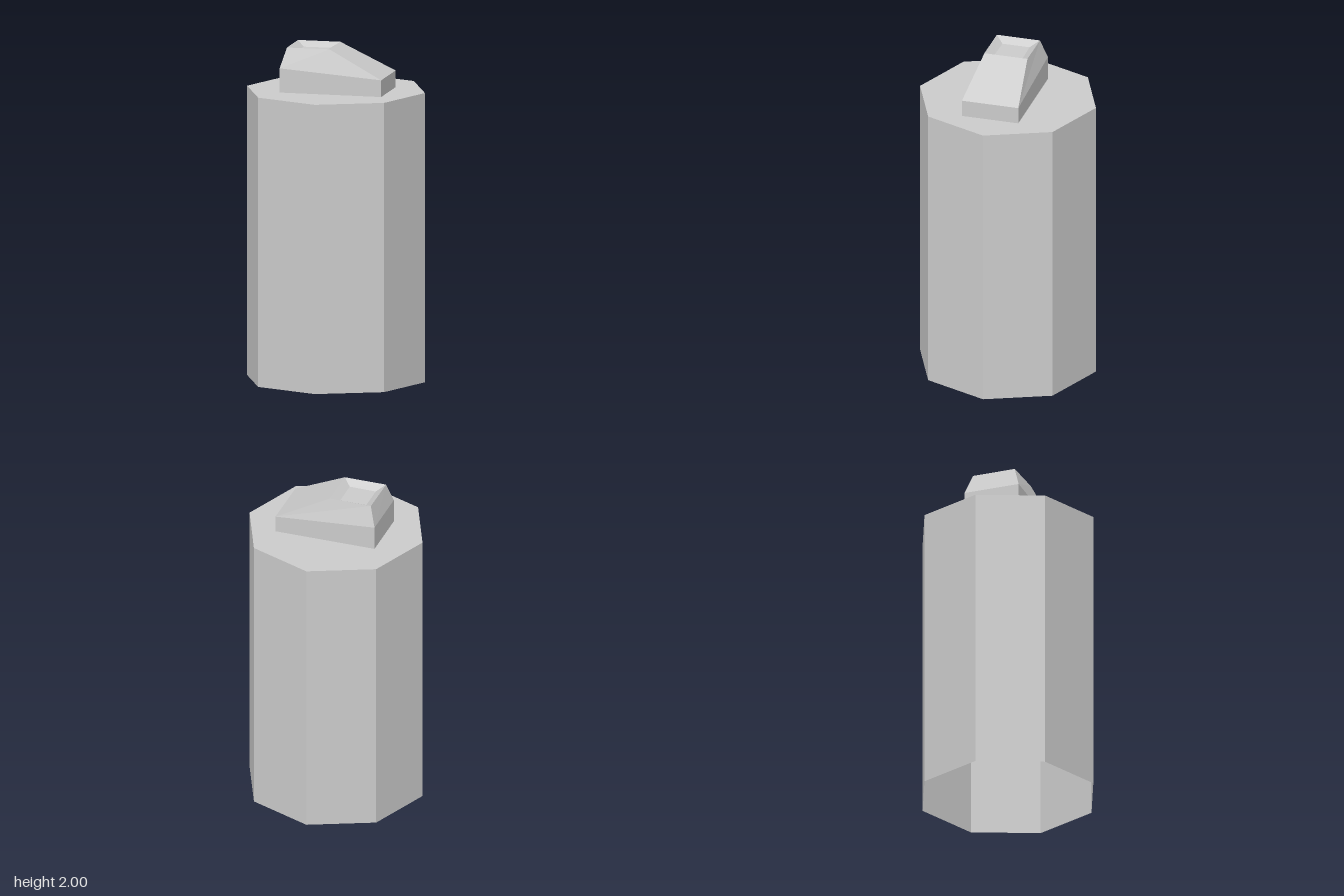
import * as THREE from 'three';

const material = new THREE.MeshStandardMaterial({ color: 0xcccccc, flatShading: true, side: THREE.DoubleSide });

// Skins four-cornered rings from bottom to top, then closes the last one.
function skinRings(rings) {
  const index = [];
  const n = rings[0].length;
  for (let r = 0; r < rings.length - 1; r++) {
    for (let i = 0; i < n; i++) {
      const j = (i + 1) % n;
      const a = r * n + i, b = r * n + j, c = b + n, d = a + n;
      index.push(a, b, c, a, c, d);
    }
  }
  const last = (rings.length - 1) * n;
  index.push(last, last + 1, last + 2, last, last + 2, last + 3);
  const indexed = new THREE.BufferGeometry();
  indexed.setAttribute('position', new THREE.Float32BufferAttribute(rings.flat(2), 3));
  indexed.setIndex(index);
  const geometry = indexed.toNonIndexed();
  geometry.computeVertexNormals();
  return geometry;
}

export function createModel() {
  const model = new THREE.Group();
  model.name = 'octagonalCanister';

  // Eight-sided shell, closed on top and open underneath
  const profile = [[0.54, 0], [0.54, 1.735], [0, 1.735]].map(([x, y]) => new THREE.Vector2(x, y));
  const body = new THREE.Mesh(new THREE.LatheGeometry(profile, 8), material);
  body.name = 'body';
  model.add(body);

  // Wedge-shaped cap turned on the lid: back-left, front-left, front-right, back-right corners
  const foot = [[-0.34, -0.083], [0.09, 0.362], [0.34, 0.12], [-0.095, -0.323]];
  const shoulderHeights = [1.88, 1.835, 1.835, 1.88];
  const rim = [[-0.288, -0.085], [-0.107, 0.1], [0.083, -0.085], [-0.097, -0.27]];
  const recess = [[-0.22, -0.085], [-0.107, 0.034], [0.016, -0.087], [-0.1, -0.202]];
  const atHeight = (ring, y) => ring.map(([x, z]) => [x, y, z]);

  const spout = new THREE.Mesh(skinRings([
    atHeight(foot, 1.735),
    foot.map(([x, z], i) => [x, shoulderHeights[i], z]),
    atHeight(rim, 2),
    atHeight(recess, 1.97), // sunken floor
  ]), material);
  spout.name = 'spout';
  model.add(spout);

  return model;
}
